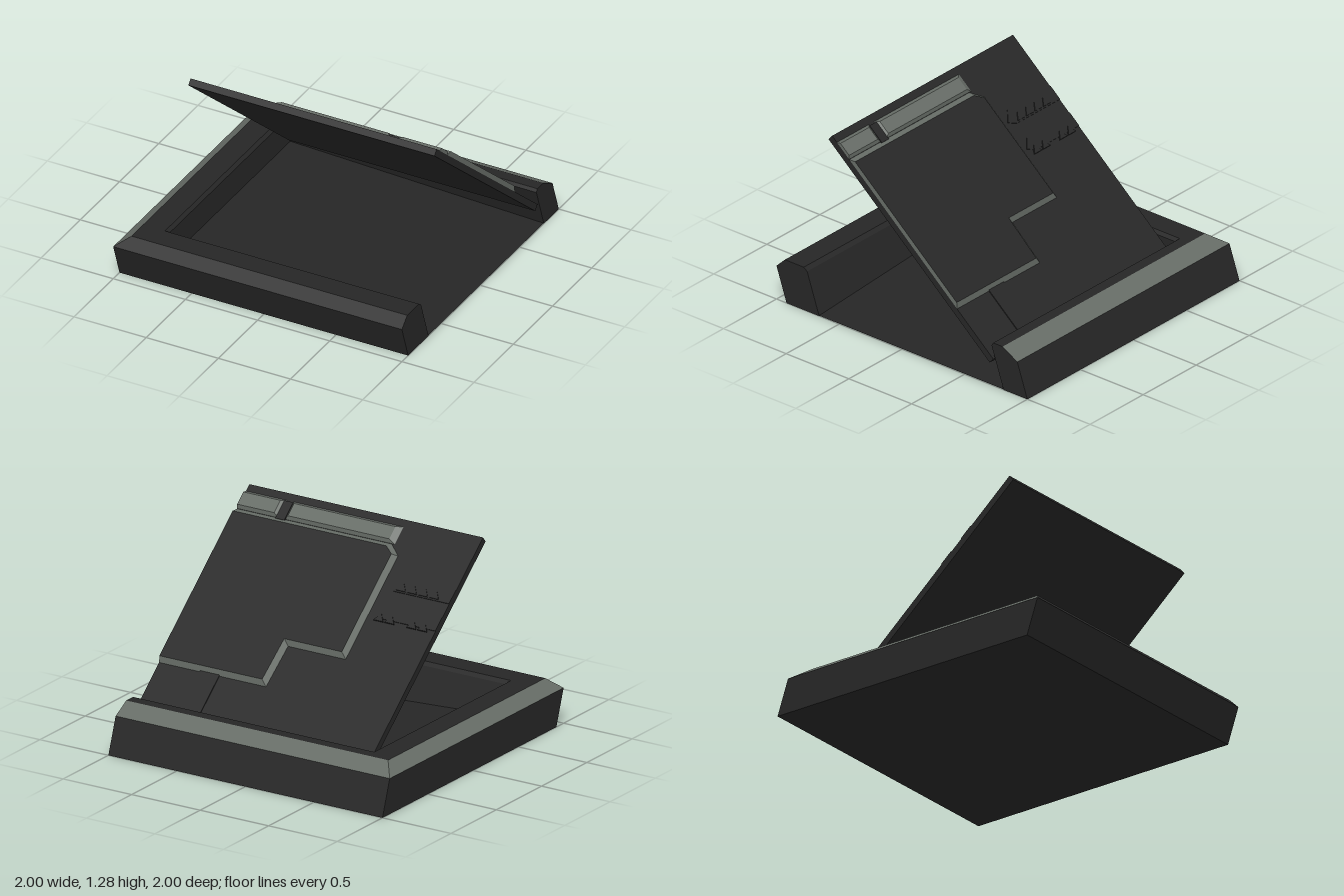
import * as THREE from 'three';

const dark = new THREE.MeshStandardMaterial({ color: 0x262626 });
dark.name = 'dark casing';
const light = new THREE.MeshStandardMaterial({ color: 0x666c66 });
light.name = 'grey edging';

// flat-shaded faces from convex polygons with corners counterclockwise
function faces(polys) {
  const pos = [];
  for (const p of polys)
    for (let i = 1; i < p.length - 1; i++) pos.push(...p[0], ...p[i], ...p[i + 1]);
  const g = new THREE.BufferGeometry();
  g.setAttribute('position', new THREE.Float32BufferAttribute(pos, 3));
  g.computeVertexNormals();
  return g;
}

function add(parent, name, geometry, material) {
  const m = new THREE.Mesh(geometry, material);
  m.name = name;
  parent.add(m);
  return m;
}

// raised block with sloping sides; outline entries are [x, z] low and high
function raised(parent, name, low, high, y0, y1, topMat, sideMat) {
  const at = ([x, z], y) => [x, y, z];
  const sides = low.map((p, i) => {
    const j = (i + 1) % low.length;
    return [at(p, y0), at(low[j], y0), at(high[j], y1), at(high[i], y1)];
  });
  add(parent, name + 'Sides', faces(sides), sideMat);
  const top = new THREE.ShapeGeometry(
    new THREE.Shape(high.map(([x, z]) => new THREE.Vector2(x, -z))));
  top.rotateX(-Math.PI / 2).translate(0, y1, 0);
  add(parent, name + 'Top', top, topMat);
}

const slab = (x0, x1, z0, z1, y0, y1) =>
  new THREE.BoxGeometry(x1 - x0, y1 - y0, z1 - z0)
    .translate((x0 + x1) / 2, (y0 + y1) / 2, (z0 + z1) / 2);

function buildTray() {
  const tray = new THREE.Group();
  tray.name = 'tray';
  // rim profile: inset at front and left, inset at back, height
  const profile = [[0, 0, 0], [0, 0, 0.23], [0.09, 0.095, 0.295],
    [0.24, 0.17, 0.295], [0.26, 0.19, 0.275], [0.26, 0.19, 0]];
  const lean = 0.348;
  const ring = (k) => profile.map(([d, b, y]) => [
    k === 0 || k === 3 ? 1 : -1 + d, y, (k < 2 ? 0.92 - d : -1 + b) + lean * y]);
  const rings = [0, 1, 2, 3].map(ring);
  const darkPolys = [], lightPolys = [];
  for (let k = 0; k < 3; k++)
    for (let i = 0; i < profile.length - 1; i++) {
      const quad = [rings[k][i], rings[k][i + 1], rings[k + 1][i + 1], rings[k + 1][i]];
      (i === 1 && k > 0 ? lightPolys : darkPolys).push(quad);
    }
  // cut ends of the rim
  darkPolys.push([...rings[0]].reverse(), rings[3]);
  add(tray, 'rim', faces(darkPolys), dark);
  add(tray, 'rimChamfer', faces(lightPolys), light);
  add(tray, 'floor', faces([
    [[-0.74, 0.09, 0.69], [1, 0.003, 0.66], [1, 0.003, -0.81], [-0.74, 0.09, -0.78]]]), dark);
  add(tray, 'underside', faces([
    [[-1, 0, -1], [1, 0, -1], [1, 0, 0.92], [-1, 0, 0.92]]]), dark);
  return tray;
}

function buildLid() {
  // z runs up the lid, y is its thickness
  const lid = new THREE.Group();
  lid.name = 'lid';
  const T = 0.044;
  add(lid, 'lidPlate', slab(-0.705, 1, 0, 1.69, 0, T), dark);

  // stepped housing with grey sloping edges
  raised(lid, 'housing',
    [[1, 0.38], [0.22, 0.38], [0.21, 0.68], [-0.21, 0.68], [-0.21, 1.44], [-0.13, 1.51], [1, 1.51]],
    [[1, 0.41], [0.25, 0.41], [0.24, 0.71], [-0.18, 0.71], [-0.18, 1.43], [-0.12, 1.475], [1, 1.475]],
    T, 0.075, dark, light);

  // two grey hinge bars with a dark pin between them
  for (const [x0, x1, e0, e1] of [[-0.15, 0.65, 0.04, 0.02], [0.7, 1, 0.03, 0]])
    raised(lid, 'hingeBar',
      [[x1, 1.512], [x0, 1.512], [x0, 1.64], [x1, 1.64]],
      [[x1 - e1, 1.53], [x0 + e0, 1.53], [x0 + e0, 1.62], [x1 - e1, 1.62]],
      T, 0.065, light, light);
  add(lid, 'hingePin', slab(0.645, 0.71, 1.5, 1.63, T, 0.056), dark);

  // latch arm below the housing
  add(lid, 'latchArm', slab(0.56, 0.7, 0.02, 0.39, T, 0.05), dark);
  add(lid, 'latchFoot', slab(0.545, 0.72, 0.01, 0.04, T, 0.053), dark);

  // toothed rails beside the housing
  const rails = [[1.0, 1.1, [-0.62, -0.54, -0.38, -0.3], -0.02],
    [1.2, 1.3, [-0.59, -0.51, -0.43, -0.35], 0.01]];
  for (const [z0, z1, teeth, shift] of rails) {
    const outline = [[-0.24, z0 + 0.03], [-0.3, z0], [-0.705, z0], [-0.705, z1], [-0.3, z1]];
    raised(lid, 'rail', outline, outline, T, 0.049, dark, dark);
    for (const x of teeth) {
      const z = z0 + shift;
      const tri = [[x + 0.035, z], [x - 0.035, z], [x, z + 0.05]];
      raised(lid, 'railTooth', tri, tri, T, 0.055, dark, dark);
    }
  }
  lid.rotation.x = -THREE.MathUtils.degToRad(40.5);
  lid.position.set(0, 0.15, -0.7);
  return lid;
}

export function createModel() {
  const model = new THREE.Group();
  model.name = 'openHatch';
  model.add(buildTray(), buildLid());
  return model;
}
